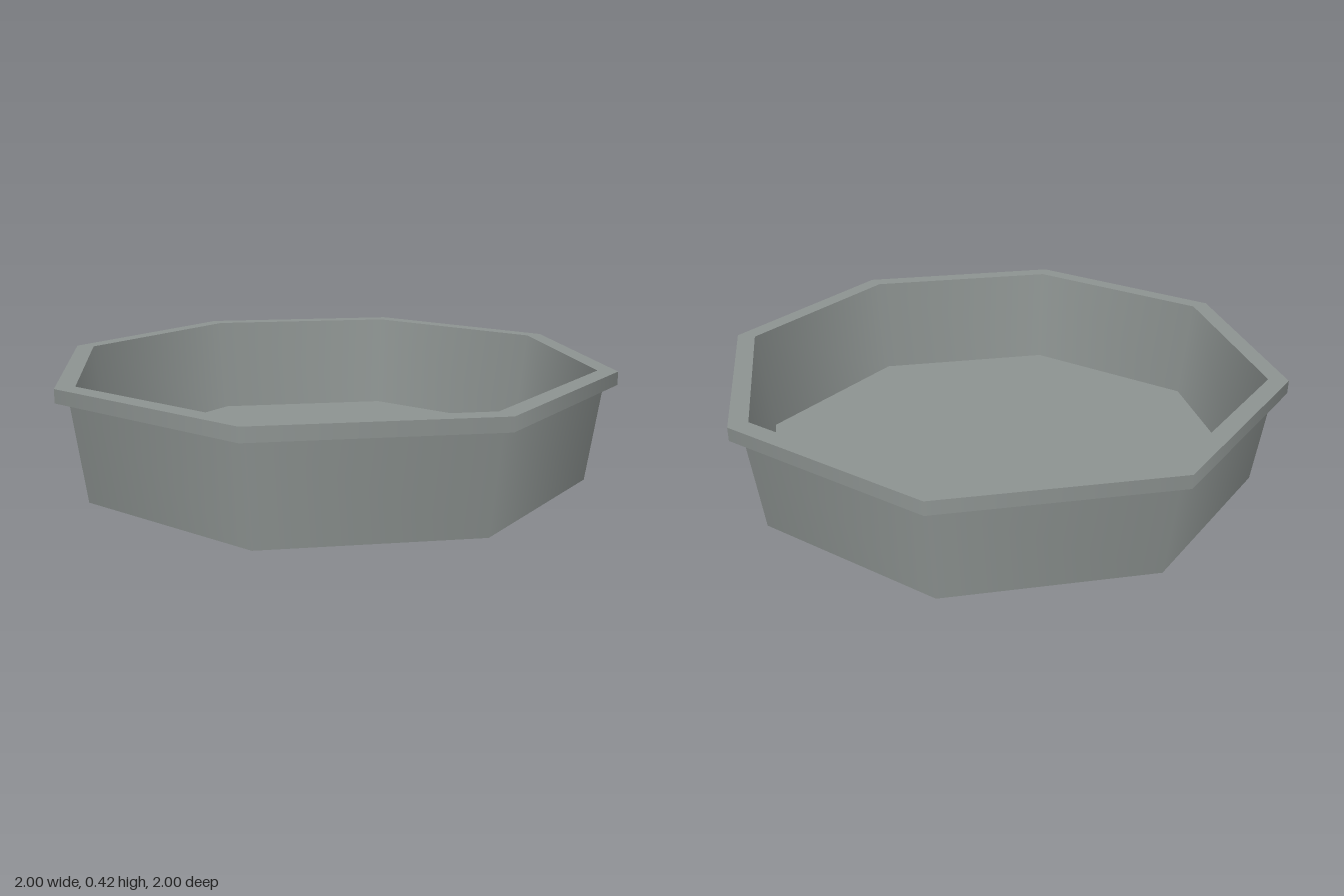
import * as THREE from 'three';

const SIDES = 8;
const CORNER = 1 / Math.cos(Math.PI / SIDES); // flat-side distance to corner radius

export function createModel() {
  const group = new THREE.Group();
  group.name = 'octagonalPan';
  const metal = new THREE.MeshStandardMaterial({ color: 0x8c9290 });
  metal.name = 'grey metal';

  // One ring of the pan: smooth around, sharp against its neighbours
  const band = (name, [r0, y0], [r1, y1]) => {
    const geometry = new THREE.LatheGeometry(
      [new THREE.Vector2(r0 * CORNER, y0), new THREE.Vector2(r1 * CORNER, y1)],
      SIDES, Math.PI / SIDES);
    const mesh = new THREE.Mesh(geometry, metal);
    mesh.name = name;
    group.add(mesh);
  };

  // Profile from the underside centre, up over the rim, and down to the inner floor
  const profile = [
    [0, 0], [0.91, 0], [0.955, 0.37], [1, 0.37],
    [1, 0.42], [0.932, 0.42], [0.886, 0.025], [0, 0.025],
  ];
  const names = ['underside', 'outerWall', 'rimUnderside', 'rimEdge',
    'rimTop', 'innerWall', 'floor'];
  names.forEach((name, i) => band(name, profile[i], profile[i + 1]));

  return group;
}
